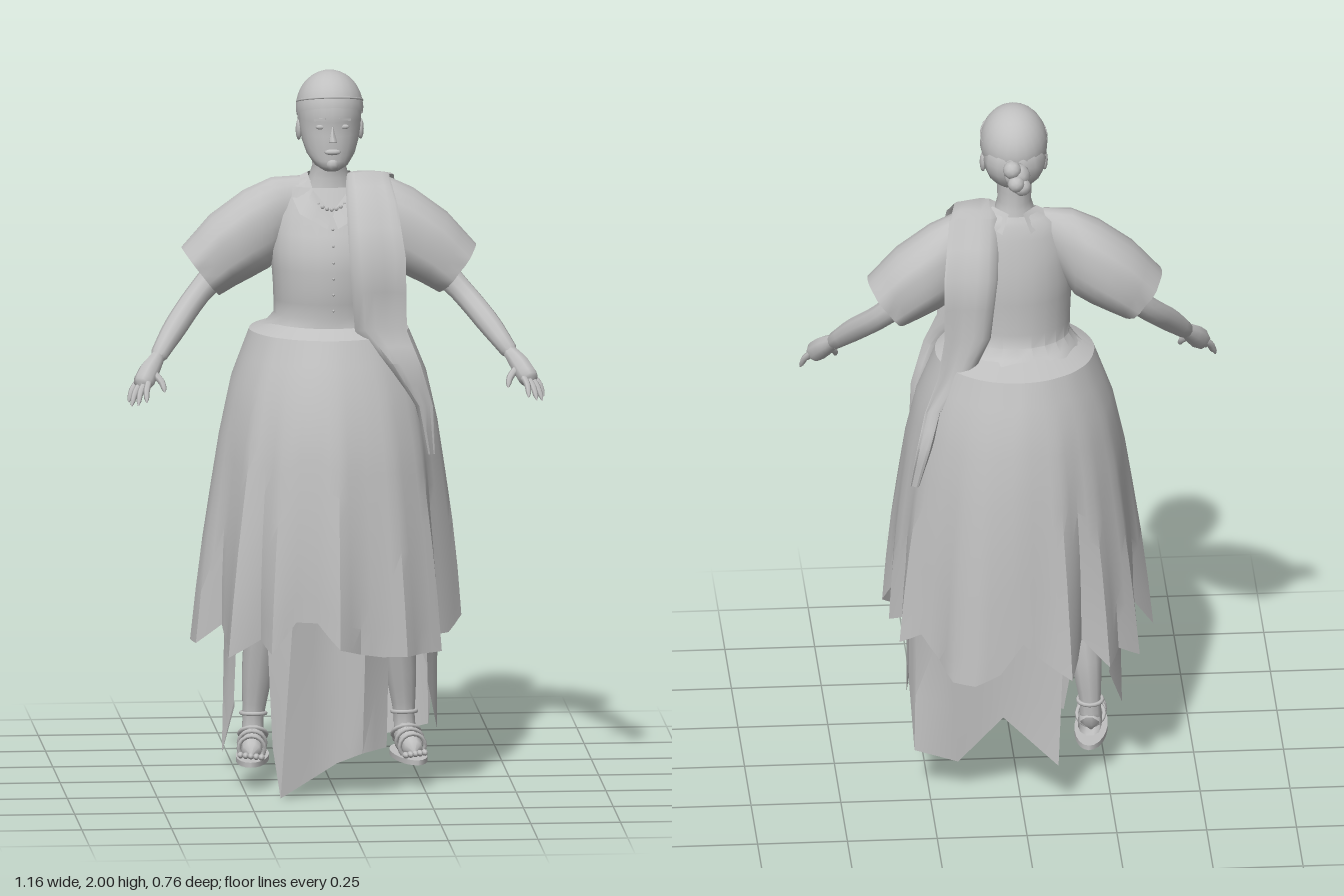
import * as THREE from 'three';
import { toCreasedNormals } from 'three/addons/utils/BufferGeometryUtils.js';

const grey = new THREE.MeshStandardMaterial({ color: 0xc0c0c0, side: THREE.DoubleSide });
grey.name = 'grey';
const V = (p) => new THREE.Vector3(...p);
const TAU = Math.PI * 2;

function add(parent, name, geo, pos = [0, 0, 0], scale = [1, 1, 1], rot = [0, 0, 0]) {
  const m = new THREE.Mesh(geo, grey);
  m.name = name;
  m.position.set(...pos); m.scale.set(...scale); m.rotation.set(...rot);
  parent.add(m);
  return m;
}

// Grid surface from f(u, v) -> [x, y, z]; closed joins u = 1 to u = 0
function surf(f, nu, nv, closed = false, crease = 0.8) {
  const pos = [], idx = [], w = closed ? nu : nu + 1;
  for (let j = 0; j <= nv; j++) for (let i = 0; i < w; i++) pos.push(...f(i / nu, j / nv));
  for (let j = 0; j < nv; j++) for (let i = 0; i < nu; i++) {
    const a = j * w + i, b = j * w + (i + 1) % w;
    idx.push(a, a + w, b, b, a + w, b + w);
  }
  const g = new THREE.BufferGeometry();
  g.setAttribute('position', new THREE.Float32BufferAttribute(pos, 3));
  g.setIndex(idx);
  g.computeVertexNormals();
  return crease ? toCreasedNormals(g, crease) : g;
}

// Interpolate between rows of a small table
function table(rows, t) {
  const s = Math.min(t, 0.99999) * (rows.length - 1), i = Math.floor(s);
  return rows[i].map((v, k) => v + (rows[i + 1][k] - v) * (s - i));
}

// Oval rings: rows of [y, half width, front z, back z]
const oval = (rows, n, nv) => surf((u, v) => {
  const [y, rx, zf, zb] = table(rows, v), a = u * TAU;
  return [rx * Math.sin(a), y, (zf + zb) / 2 + (zf - zb) / 2 * Math.cos(a)];
}, n, nv, true, 1);

// Tapered limb along a curve
function limb(points, radii, n = 8, steps = 10) {
  const c = new THREE.CatmullRomCurve3(points.map(V)), fr = c.computeFrenetFrames(steps);
  return surf((u, v) => {
    const i = Math.round(v * steps), r = i === steps ? 0.002 : table(radii.map((x) => [x]), v)[0];
    return c.getPoint(v).addScaledVector(fr.normals[i], r * Math.cos(u * TAU))
      .addScaledVector(fr.binormals[i], r * Math.sin(u * TAU)).toArray();
  }, n, steps, true, 0);
}

// Hanging cloth: top and bottom edges as matching point lists
const cloth = (top, bottom) => surf((u, v) => {
  const a = table(top, u), b = table(bottom, u);
  return a.map((p, k) => p + (b[k] - p) * v);
}, (top.length - 1) * 2, 3);

function head(g) {
  add(g, 'face', oval([[1.73, 0.022, 0.1, 0.04], [1.745, 0.046, 0.115, 0.02], [1.775, 0.067, 0.116, -0.02],
    [1.81, 0.079, 0.117, -0.06], [1.85, 0.086, 0.115, -0.08], [1.89, 0.088, 0.118, -0.085],
    [1.93, 0.084, 0.11, -0.08], [1.965, 0.055, 0.08, -0.05]], 20, 14));
  add(g, 'neck', oval([[1.8, 0.05, 0.055, -0.065], [1.73, 0.047, 0.048, -0.065], [1.7, 0.056, 0.045, -0.07], [1.63, 0.085, 0.055, -0.085]], 14, 6));
  add(g, 'hair', new THREE.SphereGeometry(1, 20, 10, 0, TAU, 0, Math.PI * 0.55),
    [0, 1.895, 0.008], [0.094, 0.105, 0.113], [-0.3, 0, 0]);
  add(g, 'hairBack', new THREE.SphereGeometry(1, 14, 10), [0, 1.86, -0.03], [0.087, 0.085, 0.078]);
  add(g, 'headband', new THREE.TorusGeometry(0.091, 0.003, 6, 24), [0, 1.915, 0.012], [1, 1.2, 1], [Math.PI / 2 - 0.25, 0, 0]);
  for (const [x, y, z, r] of [[0, 1.85, -0.12, 0.037], [0.015, 1.875, -0.135, 0.026], [-0.012, 1.825, -0.14, 0.026], [0.005, 1.84, -0.152, 0.024]])
    add(g, 'bun', new THREE.IcosahedronGeometry(r, 1), [x, y, z]);
  add(g, 'nose', new THREE.ConeGeometry(0.013, 0.05, 6), [0, 1.84, 0.119], [1, 1, 1.2], [-0.25, 0, 0]);
  add(g, 'lips', new THREE.SphereGeometry(1, 10, 6), [0, 1.787, 0.112], [0.024, 0.009, 0.011]);
  add(g, 'chin', new THREE.SphereGeometry(0.02, 10, 6), [0, 1.752, 0.102]);
  for (const s of [-1, 1]) {
    add(g, 'eye', new THREE.SphereGeometry(1, 10, 6), [s * 0.032, 1.857, 0.106], [0.015, 0.007, 0.006]);
    add(g, 'brow', new THREE.BoxGeometry(0.034, 0.006, 0.008), [s * 0.034, 1.878, 0.107], [1, 1, 1], [0, s * 0.35, s * -0.1]);
    add(g, 'ear', new THREE.SphereGeometry(1, 8, 6), [s * 0.086, 1.835, 0.01], [0.009, 0.03, 0.018]);
  }
}

// Rim radius and hem height of the overskirt every 10 degrees, from the front towards the left
const rim = [[0.39, 0.43], [0.35, 0.41], [0.355, 0.4], [0.385, 0.4], [0.37, 0.4], [0.385, 0.4], [0.315, 0.43], [0.345, 0.43], [0.37, 0.47],
  [0.335, 0.55], [0.36, 0.47], [0.335, 0.5], [0.386, 0.46], [0.36, 0.5], [0.355, 0.44], [0.39, 0.4], [0.395, 0.4], [0.37, 0.43],
  [0.36, 0.52], [0.365, 0.46], [0.4, 0.41], [0.335, 0.5], [0.385, 0.41], [0.36, 0.44], [0.39, 0.4], [0.345, 0.46], [0.335, 0.5],
  [0.39, 0.4], [0.385, 0.4], [0.33, 0.46], [0.345, 0.41], [0.395, 0.39], [0.33, 0.44], [0.375, 0.41], [0.345, 0.5], [0.35, 0.5], [0.39, 0.43]];

function clothing(g) {
  add(g, 'bodice', surf((u, v) => {
    const [y, rx, zf, zb] = table([[1.7, 0.065, 0.035, -0.075], [1.675, 0.12, 0.05, -0.09], [1.6, 0.155, 0.09, -0.11],
      [1.5, 0.165, 0.14, -0.125], [1.4, 0.158, 0.145, -0.125], [1.32, 0.155, 0.135, -0.13], [1.275, 0.19, 0.14, -0.18]], v);
    const a = u * TAU, c = Math.cos(a), jag = v > 0.95 ? 0.012 * Math.sin(7 * a) : 0;
    return [rx * Math.sin(a), y + jag - (v < 0.1 ? 0.05 * Math.max(c, 0) ** 3 : 0), (zf + zb) / 2 + (zf - zb) / 2 * c];
  }, 24, 12, true));
  for (const s of [-1, 1])
    add(g, 'collar', cloth([[0, 1.61, 0.082], [s * 0.05, 1.67, 0.055], [s * 0.06, 1.71, -0.02], [s * 0.02, 1.71, -0.075]],
      [[s * 0.015, 1.57, 0.115], [s * 0.09, 1.61, 0.09], [s * 0.12, 1.68, -0.02], [s * 0.04, 1.66, -0.1]]));
  for (let i = 0; i < 6; i++)
    add(g, 'button', new THREE.SphereGeometry(0.004, 6, 4), [0, 1.57 - i * 0.045, 0.122 + 0.024 * Math.min(1, i / 2)]);
  for (let i = 0; i < 13; i++) {
    const a = (i / 12 - 0.5) * 2.6;
    add(g, 'necklaceBead', new THREE.SphereGeometry(0.006, 6, 4), [0.06 * Math.sin(a), 1.69 - 0.07 * Math.cos(a), 0.01 + 0.075 * Math.cos(a)]);
  }
  // Wide overskirt whose folds deepen towards a ragged hem
  add(g, 'overskirt', surf((u, v) => {
    const [rx, zf, zb] = table([[0.165, 0.15, -0.15], [0.222, 0.205, -0.245], [0.275, 0.27, -0.295], [0.307, 0.315, -0.325],
      [0.33, 0.34, -0.345], [0.352, 0.36, -0.36], [0.37, 0.375, -0.372], [0.385, 0.385, -0.385]], v);
    const [edge, hem] = table(rim, u), a = u * TAU;
    const r = 1 + (edge / 0.387 - 1) * v ** 1.6;
    const y = v < 1 / 7 ? 1.295 - 0.025 * v * 7 : 1.27 + (hem - 1.27) * (v * 7 - 1) / 6;
    return [rx * r * Math.sin(a), y, (zf + zb) / 2 + (zf - zb) / 2 * r * Math.cos(a)];
  }, 72, 14, true, 0.5));
  // Inner lining, open at the front
  add(g, 'lining', surf((u, v) => {
    const a = 1.35 + u * (TAU - 2.7);
    return [0.26 * Math.sin(a), 0.62 - 0.18 * v, 0.24 * Math.cos(a)];
  }, 24, 2));
  // Torn underskirt panels below the hem
  add(g, 'frontUnderskirt', cloth([[-0.2, 0.6, 0.25], [-0.12, 0.6, 0.31], [0, 0.6, 0.27], [0.08, 0.6, 0.31], [0.15, 0.6, 0.24]],
    [[-0.18, 0.14, 0.27], [-0.16, 0, 0.3], [0, 0.09, 0.26], [0.07, 0.12, 0.28], [0.14, 0.13, 0.24]]));
  add(g, 'backUnderskirt', cloth([[0.3, 0.6, -0.06], [0.28, 0.6, -0.14], [0.2, 0.6, -0.25], [0.06, 0.6, -0.3], [-0.12, 0.6, -0.31]],
    [[0.3, 0.3, -0.1], [0.29, 0.12, -0.18], [0.17, 0.09, -0.2], [0.05, 0.26, -0.28], [-0.1, 0.13, -0.33]]));
  add(g, 'rightUnderskirt', cloth([[-0.27, 0.6, 0.22], [-0.3, 0.6, 0.12], [-0.28, 0.6, 0.02]],
    [[-0.28, 0.25, 0.17], [-0.31, 0.1, 0.13], [-0.27, 0.22, 0.07]]));
  add(g, 'leftUnderskirt', cloth([[0.25, 0.6, 0.22], [0.29, 0.6, 0.14], [0.3, 0.6, 0.04]],
    [[0.26, 0.3, 0.17], [0.29, 0.16, 0.12], [0.29, 0.3, 0.06]]));
  // Scarf over the left shoulder: rows of [x, y, z, half width]
  const path = [[0.27, 0.94, 0.152, 0.012], [0.25, 1.08, 0.175, 0.024], [0.19, 1.2, 0.19, 0.048], [0.13, 1.29, 0.168, 0.072],
    [0.12, 1.5, 0.18, 0.078], [0.11, 1.64, 0.1, 0.07], [0.105, 1.705, 0.01, 0.06], [0.115, 1.69, -0.06, 0.07],
    [0.13, 1.54, -0.145, 0.075], [0.14, 1.36, -0.145, 0.065], [0.175, 1.25, -0.15, 0.048], [0.235, 1.15, -0.16, 0.025],
    [0.262, 1.05, -0.185, 0.022], [0.288, 0.93, -0.168, 0.014]];
  add(g, 'scarf', surf((u, v) => {
    const [x, y, z, w] = table(path, v), a = u * TAU, s = Math.sin(v * Math.PI);
    const fold = 0.006 * Math.cos(a * 3);
    return [x + w * Math.cos(a), y + 0.01 * Math.sin(a) * s, z + (z > 0 ? 1 : -1) * (0.013 * Math.sin(a) + fold)];
  }, 14, 26, true));
}

// Sleeve, arm, hand, leg and sandal of one side; s = 1 left, -1 right
function limbs(g, s) {
  // rows of [top x, top y, bottom x, bottom y, mid z, half depth]
  const rings = [[0.08, 1.7, 0.14, 1.48, -0.02, 0.055], [0.16, 1.695, 0.165, 1.44, -0.025, 0.08], [0.235, 1.66, 0.21, 1.415, -0.03, 0.1],
    [0.33, 1.59, 0.26, 1.39, -0.03, 0.105], [0.41, 1.5, 0.305, 1.365, -0.025, 0.095]];
  add(g, 'sleeve', surf((u, v) => {
    const [tx, ty, bx, by, z, d] = table(rings, v), a = u * TAU, k = (1 - Math.cos(a)) / 2;
    return [s * (tx + (bx - tx) * k), ty + (by - ty) * k, z + d * Math.sin(a) * (1 + 0.08 * v * Math.cos(6 * a))];
  }, 20, 8, true));
  add(g, 'arm', limb([[s * 0.17, 1.58, -0.03], [s * 0.27, 1.47, -0.03], [s * 0.365, 1.375, 0.005], [s * 0.44, 1.29, 0.09], [s * 0.505, 1.205, 0.175]],
    [0.05, 0.043, 0.034, 0.033, 0.021], 10, 14));
  add(g, 'palm', limb([[s * 0.49, 1.225, 0.155], [s * 0.515, 1.195, 0.19], [s * 0.535, 1.165, 0.22], [s * 0.545, 1.15, 0.235]],
    [0.02, 0.029, 0.03, 0.018], 8, 8));
  const tips = [[0.578, 1.112, 0.235], [0.572, 1.105, 0.262], [0.555, 1.11, 0.283], [0.532, 1.12, 0.293]];
  tips.forEach(([x, y, z], i) => {
    const bx = 0.55 - i * 0.009, bz = 0.207 + i * 0.011;
    add(g, 'finger', limb([[s * bx, 1.165, bz], [s * (bx + x + 0.006) / 2, (1.165 + y) / 2 + 0.006, (bz + z) / 2], [s * x, y, z]], [0.01, 0.009, 0.006], 6, 6));
  });
  add(g, 'thumb', limb([[s * 0.51, 1.19, 0.2], [s * 0.485, 1.165, 0.225], [s * 0.478, 1.14, 0.245]], [0.012, 0.01, 0.006], 6, 6));
  add(g, 'leg', limb([[s * 0.15, 0.75, 0], [s * 0.18, 0.5, 0.015], [s * 0.2, 0.3, -0.015], [s * 0.21, 0.18, -0.025], [s * 0.213, 0.09, -0.02]],
    [0.065, 0.055, 0.044, 0.03, 0.032], 10, 12));
  const foot = new THREE.Group();
  foot.name = 'foot';
  foot.position.set(s * 0.213, 0, 0);
  foot.rotation.y = s * 0.12;
  add(foot, 'instep', limb([[0, 0.115, -0.055], [0, 0.125, 0], [0, 0.108, 0.07], [0, 0.09, 0.12]], [0.032, 0.034, 0.03, 0.026], 10, 8));
  add(foot, 'sole', new THREE.CylinderGeometry(1, 1, 0.014, 20), [0, 0.072, 0.035], [0.046, 1, 0.138]);
  for (let i = 0; i < 5; i++)
    add(foot, 'toe', new THREE.SphereGeometry(1, 8, 6), [s * (i - 2) * 0.015, 0.09, 0.145 - 0.008 * i], [0.009, 0.009, 0.018]);
  for (const [y, z, r, tilt] of [[0.105, 0.09, 0.036, 0.2], [0.115, 0.05, 0.037, 0.4], [0.13, 0, 0.038, 0.9], [0.185, -0.025, 0.034, 1.5]])
    add(foot, 'sandalStrap', new THREE.TorusGeometry(r, 0.006, 6, 16), [0, y, z], [1, 1, 1], [tilt, 0, 0]);
  g.add(foot);
}

export function createModel() {
  const g = new THREE.Group();
  g.name = 'womanInDress';
  head(g);
  clothing(g);
  for (const s of [-1, 1]) limbs(g, s);
  return g;
}
